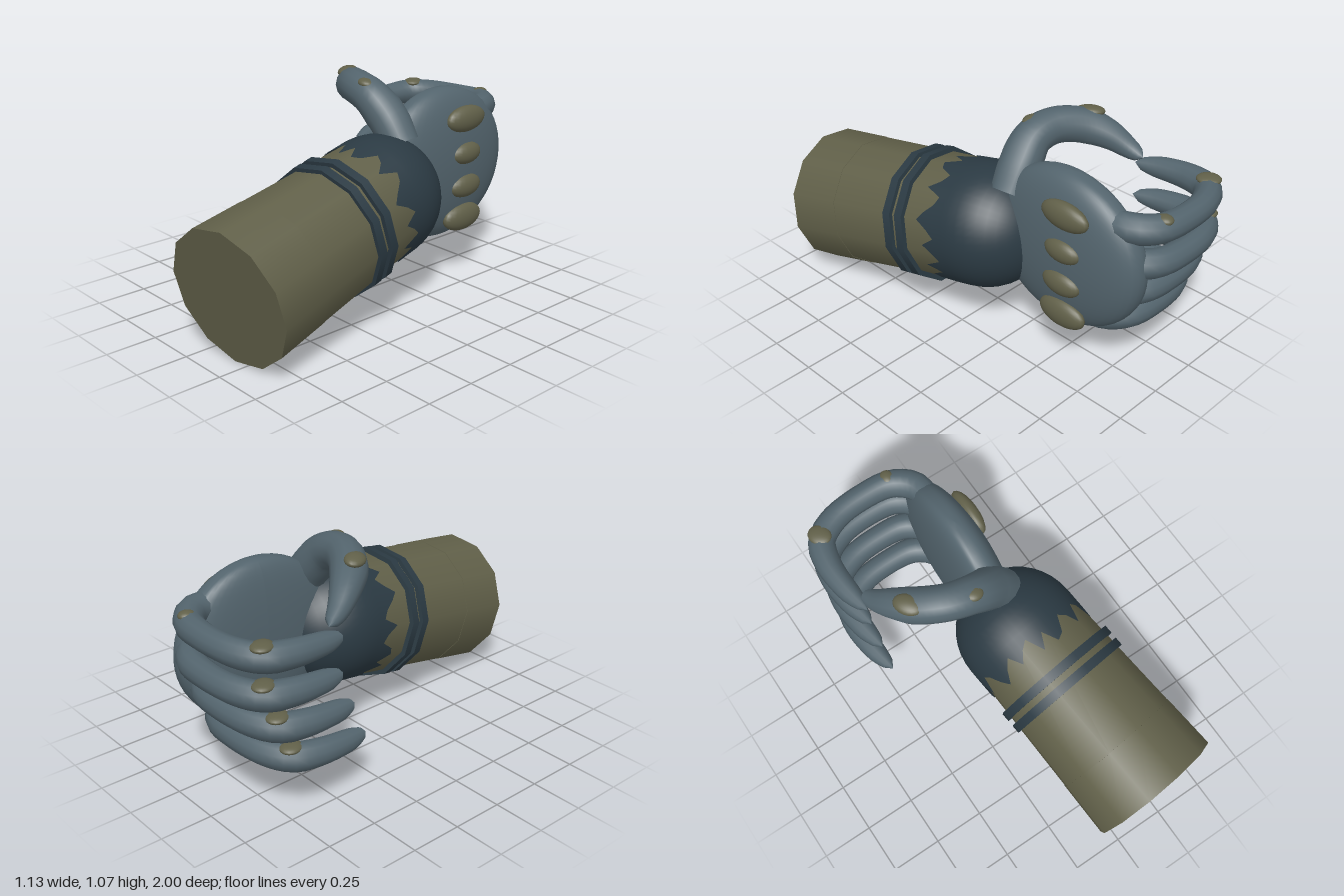
import * as THREE from 'three';

const paint = (name, color) => Object.assign(new THREE.MeshStandardMaterial({ color }), { name });

export function createModel() {
  const olive = paint('olive', 0x616049);
  const slate = paint('slate', 0x53646d);
  const dark = paint('darkBlue', 0x2b3a43);
  const model = new THREE.Group();
  model.name = 'gauntletHand';

  const add = (parent, name, geometry, material) => {
    const mesh = new THREE.Mesh(geometry, material);
    mesh.name = name;
    parent.add(mesh);
    return mesh;
  };

  // Oval pad with given half sizes
  const pad = (name, pos, radii, turn = [0, 0, 0]) => {
    const mesh = add(model, name, new THREE.SphereGeometry(1, 20, 14), olive);
    mesh.position.set(...pos);
    mesh.scale.set(...radii);
    mesh.rotation.set(...turn);
  };

  // Tube whose radius follows a list spread evenly along its path
  const taperedTube = (name, points, radii, rings = 30, sides = 12) => {
    const curve = new THREE.CatmullRomCurve3(points.map(p => new THREE.Vector3(...p)));
    const geo = new THREE.TubeGeometry(curve, rings, 1, sides, false);
    const pos = geo.attributes.position;
    const v = new THREE.Vector3();
    for (let i = 0; i < pos.count; i++) {
      const u = Math.floor(i / (sides + 1)) / rings;
      const c = curve.getPointAt(u);
      const k = Math.min(Math.floor(u * (radii.length - 1)), radii.length - 2);
      const r = THREE.MathUtils.lerp(radii[k], radii[k + 1], u * (radii.length - 1) - k);
      // Round the last stretch off to a closed tip
      const round = u > 0.94 ? Math.sqrt(Math.max(0, 1 - ((u - 0.94) / 0.06) ** 2)) : 1;
      v.fromBufferAttribute(pos, i).sub(c).multiplyScalar(r * round).add(c);
      pos.setXYZ(i, v.x, v.y, v.z);
    }
    return add(model, name, geo, slate);
  };

  // Forearm frame: local +y runs from the open end to the wrist
  const arm = new THREE.Group();
  arm.name = 'forearm';
  arm.position.set(0.228, 0.335, 0.925);
  const axis = new THREE.Vector3(-0.125, 0.2, -1).normalize();
  // Look along the axis so the twelve sides keep their roll
  arm.quaternion.setFromUnitVectors(new THREE.Vector3(0, 0, -1), axis);
  model.add(arm);

  const band = (name, t0, t1, r0, r1, material) => {
    const geo = new THREE.CylinderGeometry(r0, r1, t1 - t0, 12);
    geo.rotateX(Math.PI / 2).rotateZ(-0.13).translate(0, 0, -(t0 + t1) / 2);
    add(arm, name, geo, material);
  };
  band('lowerSleeve', 0, 0.28, 0.338, 0.327, olive);
  band('upperSleeve', 0.28, 0.97, 0.325, 0.299, olive);
  for (const t of [0.64, 0.715]) band('wristBand', t - 0.022, t + 0.022, 0.332, 0.332, dark);

  // Wrist dome with a ragged rim
  const profile = [[0.306, 0.87], [0.306, 0.96]];
  for (let i = 0; i <= 10; i++) {
    const a = (i / 10) * Math.PI / 2;
    profile.push([0.306 * Math.cos(a), 0.99 + 0.315 * Math.sin(a)]);
  }
  const dome = new THREE.LatheGeometry(profile.map(p => new THREE.Vector2(...p)), 48);
  const jag = [0.03, -0.05, -0.03, 0.045, 0.02, -0.04, 0.05, 0.03, -0.02, -0.06, 0.0, 0.04, -0.03, 0.02, 0.05, -0.045];
  const dp = dome.attributes.position;
  for (let i = 0; i < dp.count; i += profile.length) {
    const s = (i / profile.length) % 48;
    dp.setY(i, dp.getY(i) + jag[s % 16]);
  }
  dome.rotateX(-Math.PI / 2);
  const domeMaterial = dark;
  domeMaterial.side = THREE.DoubleSide;
  add(arm, 'wristDome', dome, domeMaterial);

  // Palm: rounded back of the hand, flatter inner face
  const palm = new THREE.SphereGeometry(1, 40, 28);
  const pp = palm.attributes.position;
  for (let i = 0; i < pp.count; i++) {
    const x = pp.getX(i);
    const px = x > 0 ? 0.14 * x ** 0.8 : -0.105 * (-x) ** 0.65;
    pp.setXYZ(i, 0.06 + px, 0.6 + 0.385 * pp.getY(i), -0.505 + 0.425 * pp.getZ(i));
  }
  palm.computeVertexNormals();
  add(model, 'palm', palm, slate);

  // Four fingers with knuckle pads on the back of the hand and at the bend
  const fingers = [
    { y: 0.82, dz: 0, len: 0.13, high: 0.066, px: 0.178 },
    { y: 0.645, dz: 0, len: 0.098, high: 0.056, px: 0.185 },
    { y: 0.475, dz: 0.065, len: 0.105, high: 0.06, px: 0.185 },
    { y: 0.305, dz: 0.13, len: 0.13, high: 0.07, px: 0.172 },
  ];
  const path = [[0.07, 0.01, -0.72], [0.045, 0.01, -0.84], [-0.04, 0.005, -0.915], [-0.18, 0, -0.935], [-0.36, -0.005, -0.915],
    [-0.47, -0.01, -0.85], [-0.505, -0.015, -0.74], [-0.503, -0.025, -0.6], [-0.475, -0.04, -0.44]];
  const fingerRadii = [0.06, 0.07, 0.066, 0.062, 0.061, 0.064, 0.066, 0.06, 0.052, 0.026];
  for (const f of fingers) {
    taperedTube('finger', path.map(([x, y, z]) => [x, f.y + y, z + f.dz]), fingerRadii);
    pad('fingerJointPad', [-0.47, f.y + 0.042, -0.855 + f.dz], [0.05, 0.02, 0.058], [0, 0.5, 0]);
    pad('knucklePad', [f.px, f.y + 0.015, -0.575], [0.045, f.high, f.len]);
  }
  pad('indexBasePad', [-0.05, 0.872, -0.93], [0.035, 0.022, 0.04]);

  // Thumb arching over from the wrist toward the index fingertip
  const thumb = [[0.12, 0.76, -0.19], [0.04, 0.875, -0.18], [-0.06, 0.965, -0.165], [-0.18, 0.992, -0.185],
    [-0.3, 0.975, -0.255], [-0.38, 0.93, -0.345], [-0.43, 0.87, -0.43], [-0.455, 0.83, -0.5]];
  taperedTube('thumb', thumb, [0.09, 0.098, 0.1, 0.09, 0.086, 0.086, 0.085, 0.07, 0.052, 0.03], 32, 14);
  pad('thumbJointPad', [-0.345, 1.035, -0.26], [0.048, 0.026, 0.07], [0, 0.6, 0.15]);
  pad('thumbBasePad', [-0.075, 1.04, -0.14], [0.045, 0.022, 0.04], [0, 0, -0.15]);

  return model;
}
